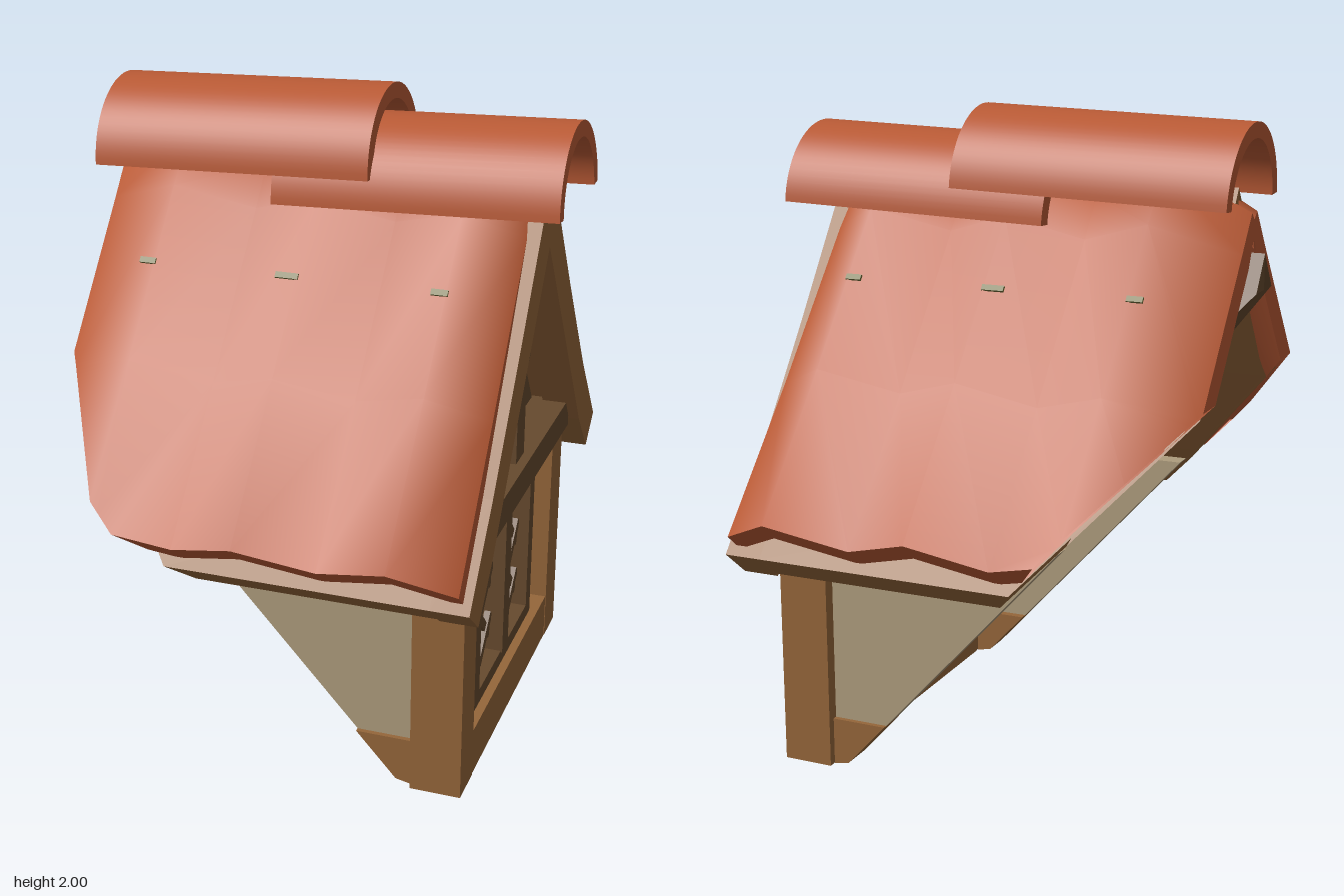
import * as THREE from 'three';
import { mergeGeometries, toCreasedNormals } from 'three/addons/utils/BufferGeometryUtils.js';

const mat = (name, color, side = THREE.FrontSide) => {
  const m = new THREE.MeshStandardMaterial({ color, side });
  m.name = name;
  return m;
};

// the dormer is cut off at the back by the slope of the main roof
const cut = (y) => 0.39 - 0.905 * y;

// grid surface from a point function, rows by columns
function grid(rows, cols, fn, flip = false) {
  const pos = [], idx = [];
  for (let r = 0; r < rows; r++) for (let c = 0; c < cols; c++) pos.push(...fn(r, c));
  for (let r = 0; r < rows - 1; r++) for (let c = 0; c < cols - 1; c++) {
    const a = r * cols + c, b = a + cols;
    if (flip) idx.push(a, a + 1, b, a + 1, b + 1, b);
    else idx.push(a, b, a + 1, a + 1, b, b + 1);
  }
  const g = new THREE.BufferGeometry();
  g.setAttribute('position', new THREE.Float32BufferAttribute(pos, 3));
  g.setIndex(idx);
  g.computeVertexNormals();
  return g;
}

function mirrorZ(geo) {
  const g = geo.clone().scale(1, 1, -1);
  const a = g.index.array;
  for (let i = 0; i < a.length; i += 3) [a[i], a[i + 1]] = [a[i + 1], a[i]];
  return g;
}

// keep only what lies in front of the main roof slope
function clipToRoof(geo) {
  const { position, normal } = geo.toNonIndexed().attributes;
  const pos = [], nor = [];
  for (let i = 0; i < position.count; i += 3) {
    const corners = [0, 1, 2].map((k) => {
      const p = new THREE.Vector3().fromBufferAttribute(position, i + k);
      return { p, n: new THREE.Vector3().fromBufferAttribute(normal, i + k), d: p.x - cut(p.y) };
    });
    const kept = [];
    corners.forEach((a, k) => {
      const b = corners[(k + 1) % 3];
      if (a.d >= 0) kept.push(a);
      if ((a.d >= 0) !== (b.d >= 0)) {
        const t = a.d / (a.d - b.d);
        kept.push({ p: a.p.clone().lerp(b.p, t), n: a.n.clone().lerp(b.n, t).normalize() });
      }
    });
    for (let k = 1; k < kept.length - 1; k++)
      for (const v of [kept[0], kept[k], kept[k + 1]]) {
        pos.push(...v.p.toArray());
        nor.push(...v.n.toArray());
      }
  }
  const g = new THREE.BufferGeometry();
  g.setAttribute('position', new THREE.Float32BufferAttribute(pos, 3));
  g.setAttribute('normal', new THREE.Float32BufferAttribute(nor, 3));
  return g;
}

// outline in (z, y), extruded along x
function extrudeX(shape, x0, x1, curveSegments = 12) {
  return new THREE.ExtrudeGeometry(shape, { depth: x1 - x0, bevelEnabled: false, curveSegments })
    .rotateY(Math.PI / 2).translate(x0, 0, 0);
}
const poly = (pts) => new THREE.Shape(pts.map((p) => new THREE.Vector2(p[0], p[1])));
const chevron = (outer, inner) => poly([
  ...outer, ...inner.slice().reverse(),
  ...inner.slice(1).map(([z, y]) => [-z, y]),
  ...outer.slice(1).reverse().map(([z, y]) => [-z, y]),
]);

// extrusion whose back end follows the main roof slope, moved forward by shift
function trimmedX(shape, x0, x1, shift) {
  const g = extrudeX(shape, x0, x1);
  const p = g.attributes.position;
  for (let i = 0; i < p.count; i++)
    if (p.getX(i) < x0 + 0.001) p.setX(i, Math.max(x0, cut(p.getY(i)) + shift));
  g.computeVertexNormals();
  return g;
}

// half of the tiled roof: a thick sheet folded into soft waves, with dropped verges
function roofSlope() {
  const prof = [[0, 1.83], [0.1, 1.83], [0.22, 1.69], [0.573, 1.257], [0.907, 0.87]];
  const xs = [-0.7, -0.45, -0.22, 0, 0.22, 0.45, 0.6];
  const drop = [0.14, 0, 0.11, 0, 0.11, 0, 0.13];
  const R = prof.length, C = xs.length, last = R - 1;
  const point = (r, c, under) => {
    const [z, y] = prof[r];
    const p = prof[Math.max(r - 1, 0)], q = prof[Math.min(r + 1, last)];
    const len = Math.hypot(q[0] - p[0], q[1] - p[1]);
    const nz = (p[1] - q[1]) / len, ny = (q[0] - p[0]) / len;
    const x = xs[c] + (c === C - 1 ? 0.03 * r / last : 0);
    const d = drop[c] + (under ? 0.085 : 0);
    return [x, y - ny * d, Math.max(z - nz * d, 0)];
  };
  return mergeGeometries([
    grid(R, C, (r, c) => point(r, c, false)),
    grid(R, C, (r, c) => point(r, c, true), true),
    grid(2, C, (k, c) => point(last, c, k === 1)),
    grid(2, R, (k, r) => point(r, 0, k === 1)),
    grid(2, R, (k, r) => point(last - r, C - 1, k === 1)),
  ]);
}

export function createModel() {
  const root = new THREE.Group();
  root.name = 'dormer';
  const tile = mat('terracotta', 0xb95a35, THREE.DoubleSide);
  const wood = mat('oak', 0x95663a);
  const dark = mat('darkOak', 0x674a2e);
  const plaster = mat('plaster', 0xae9c7d);
  const moss = mat('moss', 0x74703a);

  const add = (name, geo, material) => {
    const m = new THREE.Mesh(geo, material);
    m.name = name;
    root.add(m);
    return m;
  };
  // box given by its limits
  const box = (name, m, x0, x1, y0, y1, z0, z1) => add(name,
    new THREE.BoxGeometry(x1 - x0, y1 - y0, z1 - z0)
      .translate((x0 + x1) / 2, (y0 + y1) / 2, (z0 + z1) / 2), m);
  // bar in the gable plane between two (z, y) points
  const bar = (name, m, a, b, w, x0, x1) => {
    const dz = b[0] - a[0], dy = b[1] - a[1];
    const o = add(name, new THREE.BoxGeometry(x1 - x0, Math.hypot(dz, dy), w), m);
    o.position.set((x0 + x1) / 2, (a[1] + b[1]) / 2, (a[0] + b[0]) / 2);
    o.rotation.x = Math.atan2(dz, dy);
  };

  // roof covering
  const slope = roofSlope();
  add('roofSlopeLeft', clipToRoof(slope), tile);
  add('roofSlopeRight', clipToRoof(mirrorZ(slope)), tile);

  // ridge tiles, overlapping and slightly tilted
  const arc = new THREE.Shape();
  arc.absarc(0, 0, 0.248, 0.06, Math.PI - 0.06, false);
  arc.absarc(0, 0, 0.2, Math.PI - 0.06, 0.06, true);
  const ridgeGeo = toCreasedNormals(extrudeX(arc, -0.432, 0.432, 18), 0.6);
  [[-0.26, 1.738], [0.305, 1.668]].forEach(([x, y], i) => {
    const t = add('ridgeTile' + (i + 1), ridgeGeo, tile);
    t.position.set(x, y, 0);
    t.rotation.z = 0.03;
  });

  // roof boarding and its dark lining, trimmed to the main roof slope
  const outer = [[0, 1.78], [0.3, 1.35], [0.445, 1.15], [0.57, 0.98], [0.785, 0.72]];
  const inner = [[0, 1.59], [0.31, 1.15], [0.56, 0.81], [0.7, 0.65]];
  add('roofBoarding', trimmedX(chevron(outer, inner), -0.65, 0.54, 0), wood);
  add('roofLining', trimmedX(chevron(
    [[0, 1.592], [0.076, 1.484], [0.28, 1.195], [0.55, 0.823]],
    [[0, 1.484], [0.21, 1.195], [0.48, 0.823]]), -0.735, 0.48, 0.21), dark);
  add('bargeBoards', extrudeX(chevron(outer, [[0, 1.55], [0.55, 0.785], [0.685, 0.637]]), 0.54, 0.655), wood);

  // gable
  add('gablePanel', extrudeX(poly([[-0.58, 0.76], [0.58, 0.76], [0, 1.57]]), 0.47, 0.5), dark);
  box('tieBeam', dark, 0.45, 0.62, 0.765, 0.86, -0.54, 0.54);
  box('kingPost', dark, 0.5, 0.59, 0.86, 1.56, -0.048, 0.048);

  // side walls, posts, struts and casing on both sides
  const side = (pts, depth, z) => new THREE.ExtrudeGeometry(poly(pts), { depth, bevelEnabled: false })
    .translate(0, 0, z - depth / 2);
  const wall = [[0.43, 0.15], [0.43, 0.78], [cut(0.78), 0.78], [cut(0.15), 0.15]];
  const foot = [[0.43, 0], [0.43, 0.15], [cut(0.15), 0.15], [cut(0.01), 0.01]];
  for (const s of [1, -1]) {
    const n = s > 0 ? 'Left' : 'Right';
    const zs = (a, b) => (s > 0 ? [a, b] : [-b, -a]);
    add('sideWall' + n, side(wall, 0.06, s * 0.525), plaster);
    add('wallPlate' + n, side(foot, 0.1, s * 0.52), wood);
    box('cornerPost' + n, wood, 0.432, 0.59, 0, 0.77, ...zs(0.458, 0.592));
    box('frontPlaster' + n, plaster, 0.46, 0.52, 0.15, 0.77, ...zs(0.34, 0.46));
    box('windowJamb' + n, dark, 0.46, 0.56, 0.15, 0.77, ...zs(0.29, 0.345));
    bar('strut' + n, dark, [s * 0.07, 0.87], [s * 0.31, 1.11], 0.09, 0.5, 0.53);
  }
  box('sillBeam', wood, 0.43, 0.588, 0, 0.15, -0.46, 0.46);
  box('windowSill', dark, 0.46, 0.56, 0.15, 0.195, -0.29, 0.29);
  box('windowHead', dark, 0.46, 0.56, 0.742, 0.77, -0.29, 0.29);
  box('mullion', dark, 0.46, 0.565, 0.19, 0.75, -0.035, 0.035);

  // diagonal lattice, each bar clipped to its pane
  const y0 = 0.19, y1 = 0.745;
  for (const [z0, z1] of [[0.035, 0.29], [-0.29, -0.035]])
    for (const d of [1, -1])
      for (let k = -3; k < 8; k++) {
        const base = y0 + 0.01 + k * 0.18; // height of the bar at the pane centre
        const zA = base - d * (z0 + z1) / 2;
        const lim = [(y0 - zA) * d, (y1 - zA) * d].sort((a, b) => a - b);
        const a = Math.max(z0, lim[0]), b = Math.min(z1, lim[1]);
        if (b - a > 0.03)
          bar('latticeBar', dark, [a, zA + a * d], [b, zA + b * d], 0.03, d > 0 ? 0.5 : 0.505, d > 0 ? 0.52 : 0.525);
      }

  // small moss flecks on the crests of the slopes
  for (const s of [1, -1])
    for (const [x, w] of [[-0.47, 0.05], [-0.03, 0.07], [0.43, 0.05]]) {
      const f = add('mossFleck', new THREE.BoxGeometry(w, 0.008, 0.018), moss);
      f.position.set(x, 1.5, s * 0.374);
      f.rotation.x = s * 0.887;
    }

  return root;
}
